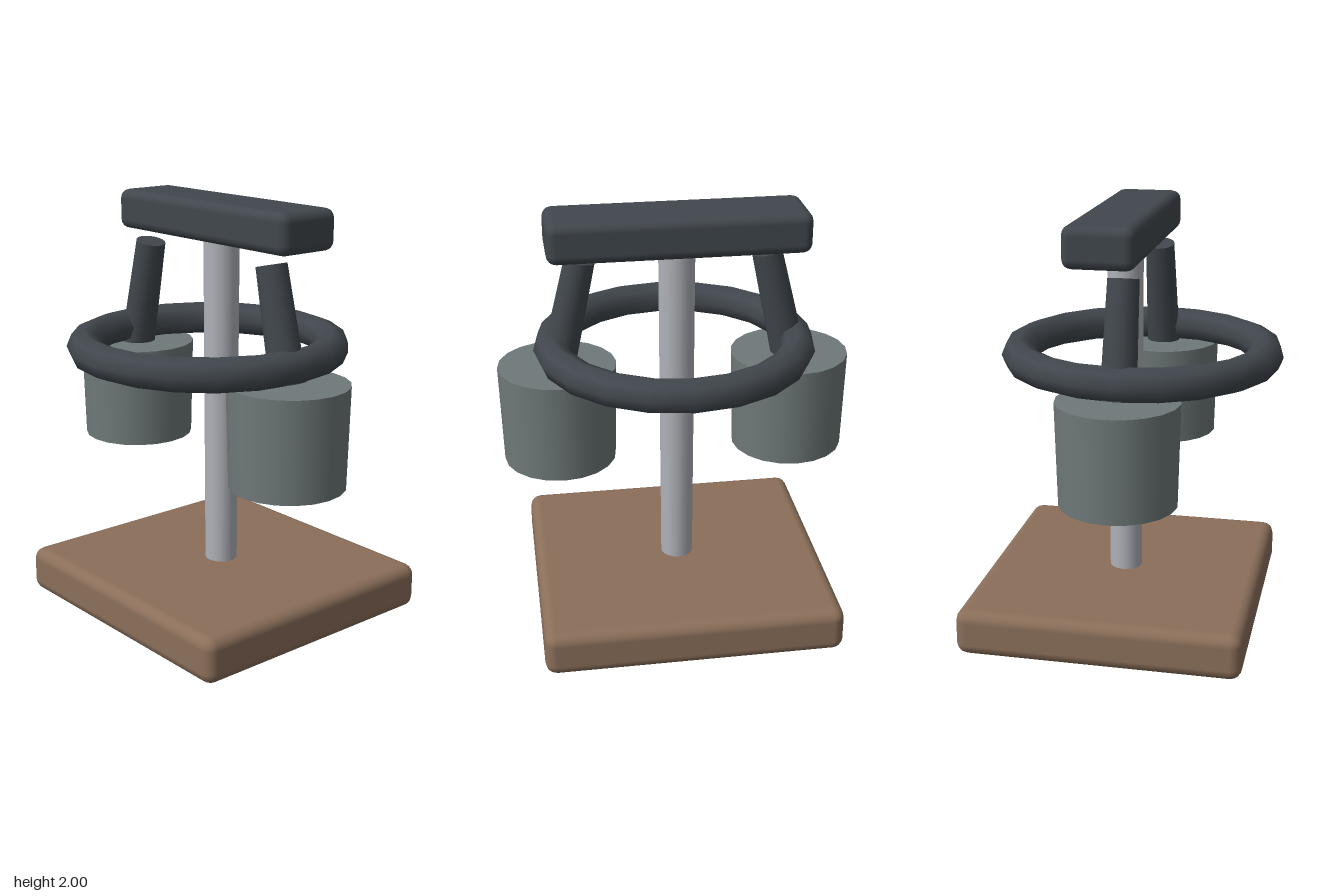
import * as THREE from 'three';
import { RoundedBoxGeometry } from 'three/addons/geometries/RoundedBoxGeometry.js';

const material = (name, color) => {
  const m = new THREE.MeshStandardMaterial({ color });
  m.name = name;
  return m;
};

export function createModel() {
  const wood = material('brown wood', 0x8b6f5a);
  const metal = material('pale metal', 0xafb2b9);
  const dark = material('dark slate', 0x41474d);
  const grey = material('grey green', 0x6f7979);

  const model = new THREE.Group();
  model.name = 'stand';
  const add = (name, geometry, mat, x, y, z) => {
    const mesh = new THREE.Mesh(geometry, mat);
    mesh.name = name;
    mesh.position.set(x, y, z);
    model.add(mesh);
    return mesh;
  };

  // Base, post and crossbar share one centre line, slightly behind the middle
  const backZ = -0.04;
  add('base', new RoundedBoxGeometry(1.41, 0.22, 1.335, 2, 0.055), wood, 0, 0.11, backZ);
  add('post', new THREE.CylinderGeometry(0.085, 0.078, 1.68, 20), metal, 0, 1.02, backZ);
  add('crossbar', new RoundedBoxGeometry(1.19, 0.19, 0.325, 2, 0.045), dark, 0, 1.905, backZ);

  // Horizontal ring around the post
  const frontZ = 0.042;
  const ring = add('ring', new THREE.TorusGeometry(0.585, 0.08, 8, 20), dark, 0, 1.32, frontZ);
  ring.rotation.x = Math.PI / 2;

  // A cup and an inward-leaning arm on each side
  const lean = 0.225;
  const armLength = 0.53;
  for (const [side, s] of [['left', 1], ['right', -1]]) {
    add(side + 'Cup', new THREE.CylinderGeometry(0.28, 0.268, 0.477, 20), grey, s * 0.557, 1.003, frontZ);
    const arm = add(side + 'Arm', new THREE.CylinderGeometry(0.071, 0.083, armLength, 16), dark,
      s * (0.434 + Math.sin(lean) * armLength / 2), 1.755 - Math.cos(lean) * armLength / 2, frontZ);
    arm.rotation.z = s * lean;
  }
  return model;
}
